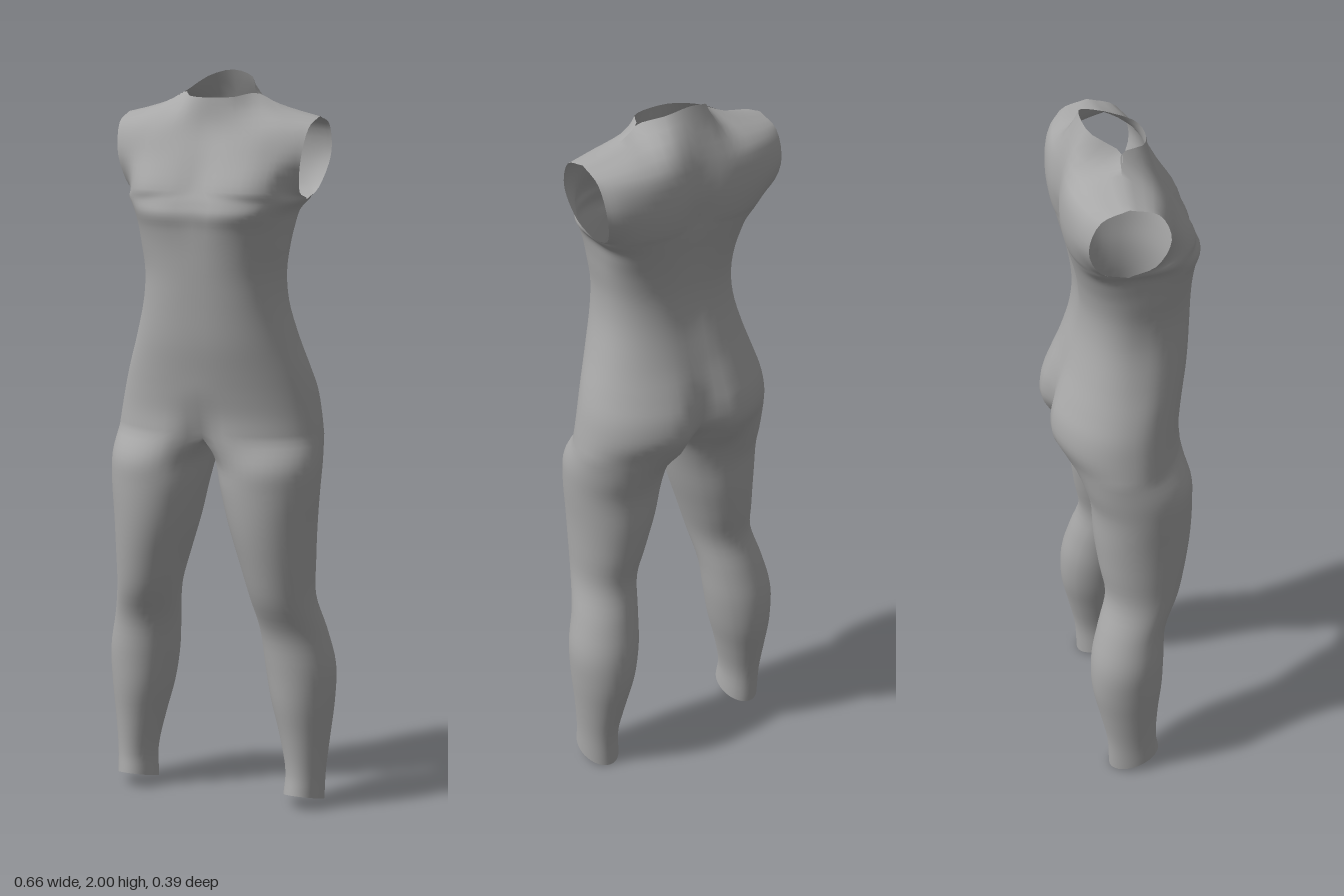
import * as THREE from 'three';
import { mergeVertices } from 'three/addons/utils/BufferGeometryUtils.js';

const M = 14;   // columns per quarter of the torso
const SUB = 4;  // smoothed rows between two sections
const V = (x, y, z) => new THREE.Vector3(x, y, z);
const spow = (v, e) => Math.sign(v) * Math.pow(Math.abs(v), e);

// Half torso section, front centre -> left side -> back centre
function torsoSection([y, w, zf, zb, zs, n, frontDip, backDip]) {
  return Array.from({ length: 2 * M + 1 }, (_, i) => {
    const a = (Math.PI * i) / (2 * M), c = Math.cos(a);
    const x = w * spow(Math.sin(a), 2 / n);
    const fade = Math.exp(-((x / 0.05) ** 2));
    const z = zs + (c > 0 ? zf - zs : zs - zb) * spow(c, 2 / n);
    return V(x, y, z + fade * (c > 0 ? -frontDip : backDip));
  });
}

// Full leg section; the first 2M columns continue the torso, the rest is the inner thigh
function legSection([y, xin, xout, zf, zb, slant = 0]) {
  const cx = (xin + xout) / 2, w = (xout - xin) / 2, cz = (zf + zb) / 2, d = (zf - zb) / 2;
  return Array.from({ length: 3 * M + 1 }, (_, i) => {
    const deg = i <= 2 * M ? -45 + (270 * i) / (2 * M) : 225 + (90 * (i - 2 * M)) / M;
    const a = THREE.MathUtils.degToRad(deg), z = cz + d * Math.cos(a);
    return V(cx + w * Math.sin(a), y + slant * z, z);
  });
}

// Smooth row through points given from the centre line to the armhole
function netRow(points) {
  const p = points.map(q => V(...q));
  const mirrored = p.slice(1).reverse().map(q => V(-q.x, q.y, q.z));
  const curve = new THREE.CatmullRomCurve3([...mirrored, ...p]);
  return Array.from({ length: M + 1 }, (_, i) => curve.getPoint(0.5 + (0.5 * i) / M));
}

// Smooth the sections lengthwise, keeping rows from section "first" on
function loft(rows, first = 0) {
  const segs = rows.length - 1;
  const cols = rows[0].map((_, c) => new THREE.CatmullRomCurve3(rows.map(r => r[c])));
  const out = [];
  for (let k = first * SUB; k <= segs * SUB; k++) out.push(cols.map(q => q.getPoint(k / (segs * SUB))));
  return out;
}

// Turn lofted grids and their mirror images into one smooth surface
function skin(grids) {
  const pos = [], idx = [];
  for (const side of [1, -1]) for (const grid of grids) {
    const base = pos.length / 3, n = grid[0].length;
    grid.forEach(row => row.forEach(p => pos.push(side * p.x, p.y, p.z)));
    for (let r = 0; r < grid.length - 1; r++) for (let c = 0; c < n - 1; c++) {
      const a = base + r * n + c, b = a + 1, d = a + n, e = d + 1;
      if (side > 0) idx.push(a, b, d, b, e, d);
      else idx.push(a, d, b, b, d, e);
    }
  }
  const g = new THREE.BufferGeometry();
  g.setAttribute('position', new THREE.Float32BufferAttribute(pos, 3));
  g.setIndex(idx);
  const merged = mergeVertices(g, 1e-4);
  merged.computeVertexNormals();
  return merged;
}

export function createModel() {
  // Hips, waist and bust: y, half width, front z, back z, side z, squareness, front and back dips
  const torso = [
    [1.04, 0.29, 0.16, -0.175, -0.01, 2.1, 0.035, 0.075],
    [1.10, 0.28, 0.155, -0.205, -0.01, 2.1, 0.01, 0.05],
    [1.16, 0.268, 0.16, -0.203, -0.01, 2.1, 0, 0.035],
    [1.22, 0.25, 0.168, -0.183, 0, 2.1, 0, 0.02],
    [1.30, 0.222, 0.178, -0.15, 0.01, 2.2, 0, 0.008],
    [1.40, 0.195, 0.183, -0.122, 0.02, 2.3, 0, 0.008],
    [1.48, 0.19, 0.186, -0.115, 0.02, 2.3, 0, 0.01],
    [1.55, 0.198, 0.19, -0.122, 0.02, 2.4, 0.002, 0.012],
    [1.60, 0.205, 0.196, -0.131, 0.01, 2.6, 0.006, 0.014],
    [1.64, 0.214, 0.204, -0.14, 0, 2.8, 0.011, 0.015],
    [1.67, 0.238, 0.193, -0.147, -0.02, 2.7, 0.011, 0.016],
  ].map(torsoSection);

  // Shoulder seam, shared by front and back
  const seam = [[0.103, 1.945, -0.01], [0.15, 1.922, -0.02], [0.21, 1.903, -0.025], [0.272, 1.888, -0.025]];
  // Upper chest up to the front of the neck
  const chest = [
    [[0, 1.70, 0.165], [0.07, 1.70, 0.177], [0.14, 1.70, 0.172], [0.19, 1.70, 0.14], [0.218, 1.70, 0.092], [0.243, 1.696, 0.047]],
    [[0, 1.78, 0.122], [0.07, 1.78, 0.13], [0.14, 1.78, 0.127], [0.19, 1.78, 0.112], [0.225, 1.78, 0.098], [0.258, 1.78, 0.083]],
    [[0, 1.86, 0.082], [0.07, 1.86, 0.085], [0.14, 1.862, 0.08], [0.19, 1.865, 0.07], [0.23, 1.864, 0.06], [0.268, 1.862, 0.05]],
    [[0, 1.935, 0.07], [0.06, 1.937, 0.055], ...seam],
  ].map(netRow);
  // Upper back up to the raised nape
  const back = [
    [[0, 1.70, -0.135], [0.07, 1.70, -0.152], [0.14, 1.70, -0.148], [0.19, 1.70, -0.133], [0.222, 1.70, -0.113], [0.247, 1.696, -0.09]],
    [[0, 1.78, -0.15], [0.07, 1.78, -0.162], [0.14, 1.78, -0.16], [0.19, 1.78, -0.152], [0.235, 1.78, -0.14], [0.268, 1.78, -0.125]],
    [[0, 1.875, -0.14], [0.07, 1.875, -0.145], [0.14, 1.87, -0.14], [0.19, 1.868, -0.13], [0.235, 1.865, -0.115], [0.274, 1.862, -0.095]],
    [[0, 2.0, -0.095], [0.06, 1.985, -0.08], ...seam],
  ].map(netRow).map(r => r.reverse());

  // Legs from the slanted ankle opening up: y, inner x, outer x, front z, back z
  const legs = [
    [0.025, 0.195, 0.304, 0.068, -0.075, 0.32],
    [0.1, 0.198, 0.306, 0.06, -0.08],
    [0.2, 0.178, 0.315, 0.065, -0.1],
    [0.3, 0.152, 0.325, 0.077, -0.12],
    [0.4, 0.135, 0.328, 0.082, -0.12],
    [0.5, 0.125, 0.308, 0.09, -0.098],
    [0.6, 0.108, 0.285, 0.13, -0.073],
    [0.7, 0.08, 0.284, 0.152, -0.088],
    [0.8, 0.05, 0.287, 0.166, -0.1],
    [0.9, 0.025, 0.294, 0.17, -0.105],
    [0.97, 0.008, 0.296, 0.167, -0.125],
  ].map(legSection);
  // Top of the leg: half the hip section closed by the crotch line
  const hip = torso[0], f = hip[0], b = hip[2 * M];
  const crotch = Array.from({ length: M }, (_, i) => {
    const t = (i + 1) / M;
    return V(0, f.y - 0.04 * Math.sin(Math.PI * t), THREE.MathUtils.lerp(b.z, f.z, t));
  });
  legs.push([...hip, ...crotch]);

  const last = torso.length - 1;
  const grids = [
    loft(torso),
    loft([...torso.map(r => r.slice(0, M + 1)), ...chest], last),
    loft([...torso.map(r => r.slice(M)), ...back], last),
    loft(legs),
  ];

  const grey = new THREE.MeshStandardMaterial({ color: 0xa8a8a8, side: THREE.DoubleSide });
  grey.name = 'grey';
  const body = new THREE.Mesh(skin(grids), grey);
  body.name = 'bodysuit';
  const model = new THREE.Group();
  model.name = 'sleevelessBodysuit';
  model.add(body);
  return model;
}
